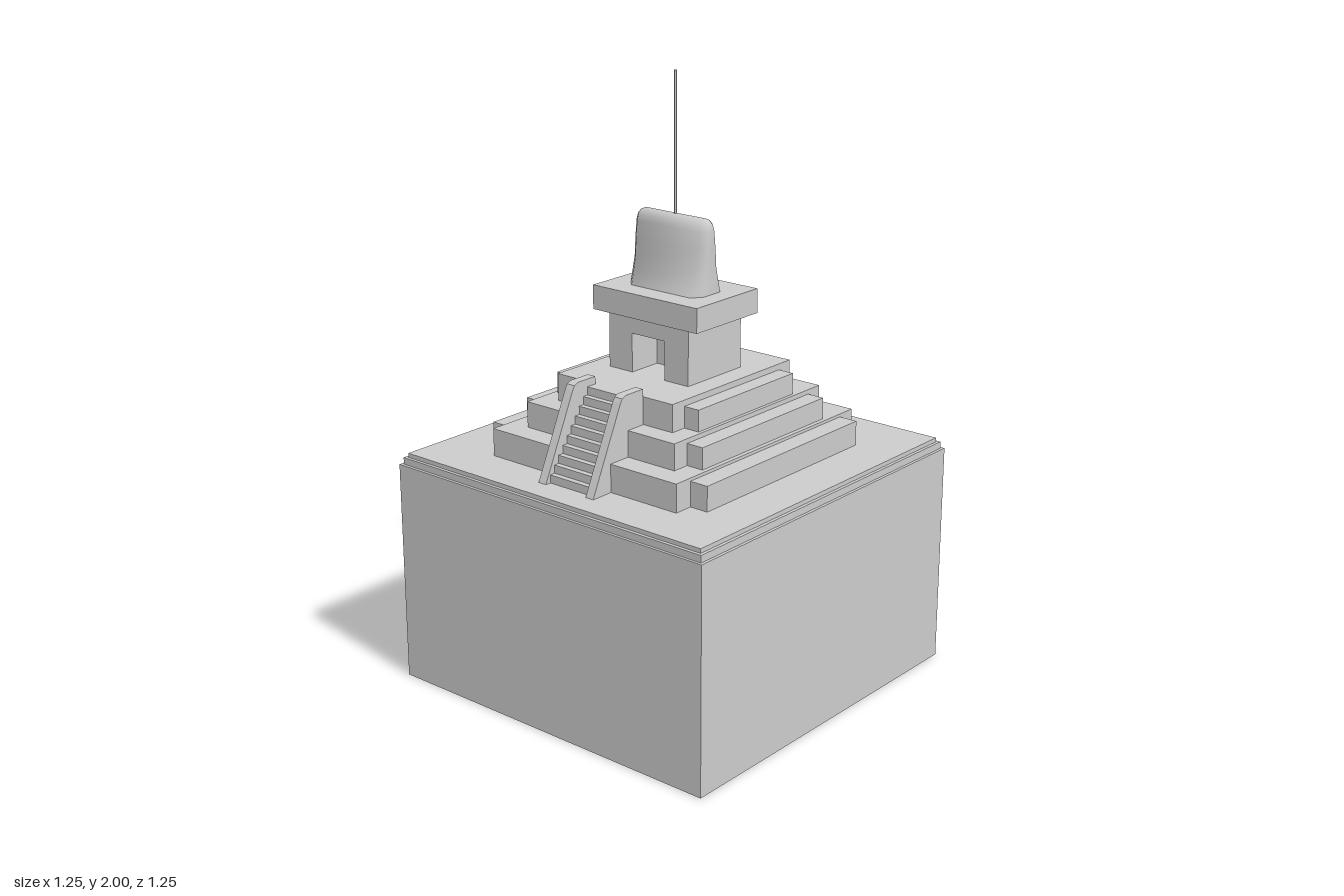
import * as THREE from 'three';
import { mergeVertices, toCreasedNormals } from 'three/addons/utils/BufferGeometryUtils.js';

const grey = new THREE.MeshStandardMaterial({ color: 0xcccccc });
const greyDouble = new THREE.MeshStandardMaterial({ color: 0xcccccc, side: THREE.DoubleSide });

export function createModel() {
  const model = new THREE.Group();
  const add = (name, geometry, material = grey, parent = model) => {
    const mesh = new THREE.Mesh(geometry, material);
    mesh.name = name;
    parent.add(mesh);
    return mesh;
  };
  // box given by half sizes in x and z and its bottom and top heights
  const block = (hx, hz, y0, y1, z = 0, x = 0) =>
    new THREE.BoxGeometry(hx * 2, y1 - y0, hz * 2).translate(x, (y0 + y1) / 2, z);

  // hollow plinth, open underneath: the bottom face of the box is dropped
  const plinth = block(0.627, 0.627, 0, 0.745);
  const faces = Array.from(plinth.index.array);
  faces.splice(18, 6);
  plinth.setIndex(faces);
  plinth.clearGroups();
  add('plinth', plinth, greyDouble);
  add('lowerPlinthStep', block(0.617, 0.617, 0.745, 0.768));
  add('upperPlinthStep', block(0.606, 0.606, 0.768, 0.782));

  // pyramid tiers: two crossed blocks each, leaving notched corners
  const tiers = [
    [0.445, 0.38, 0.782, 0.864, 0.874],
    [0.365, 0.305, 0.874, 0.945, 0.96],
    [0.293, 0.237, 0.96, 1.03, 1.05],
  ];
  tiers.forEach(([long, short, y0, ySide, yMain], i) => {
    const tier = new THREE.Group();
    tier.name = `tier${i + 1}`;
    add('tierMain', block(short, long, y0, yMain), grey, tier);
    add('tierSides', block(long, short, y0, ySide), grey, tier);
    model.add(tier);
  });

  // staircase as one stepped side profile, extruded across x
  const sideExtrude = (points, width, x) => {
    const shape = new THREE.Shape(points.map(([z, y]) => new THREE.Vector2(-z, y)));
    return new THREE.ExtrudeGeometry(shape, { depth: width, bevelEnabled: false })
      .translate(0, 0, -width / 2).rotateY(Math.PI / 2).translate(x, 0, 0);
  };
  const steps = 10, rise = 0.268 / steps, run = 0.0193;
  const profile = [[0.27, 0.782], [0.505, 0.782]];
  for (let i = 0; i < steps; i++) {
    const y = 0.782 + (i + 1) * rise;
    profile.push([0.505 - i * run, y], [i === steps - 1 ? 0.27 : 0.505 - (i + 1) * run, y]);
  }
  add('stairs', sideExtrude(profile, 0.166, 0.007));

  // sloped balustrades on both sides of the stairs
  const rail = [[0.295, 0.782], [0.525, 0.782], [0.398, 1.055], [0.39, 1.068], [0.373, 1.075], [0.295, 1.075]];
  for (const side of [-1, 1]) {
    add(side < 0 ? 'rightBalustrade' : 'leftBalustrade', sideExtrude(rail, 0.031, 0.007 + side * 0.098));
  }

  // temple chamber with a doorway recessed into the front
  const front = new THREE.Shape([
    [-0.163, 1.05], [-0.067, 1.05], [-0.067, 1.178], [0.067, 1.178],
    [0.067, 1.05], [0.163, 1.05], [0.163, 1.235], [-0.163, 1.235],
  ].map(([x, y]) => new THREE.Vector2(x, y)));
  add('templeFront', new THREE.ExtrudeGeometry(front, { depth: 0.12, bevelEnabled: false }).translate(0, 0, 0.01));
  add('templeBack', block(0.163, 0.07, 1.05, 1.235, -0.06));
  add('templeRoof', block(0.213, 0.15, 1.235, 1.315));

  // roof crest: chamfered rectangular sections [y, half width, half depth, corner]
  const sections = [
    [1.315, 0.148, 0.073, 0.03], [1.355, 0.148, 0.06, 0.027], [1.4, 0.147, 0.048, 0.024],
    [1.46, 0.147, 0.041, 0.021], [1.515, 0.146, 0.034, 0.019], [1.535, 0.143, 0.027, 0.016],
    [1.547, 0.135, 0.017, 0.011], [1.552, 0.125, 0.007, 0.005],
  ];
  const positions = [], index = [];
  for (const [y, w, d, c] of sections) {
    const ring = [[w, d - c], [w - c, d], [c - w, d], [-w, d - c], [-w, c - d], [c - w, -d], [w - c, -d], [w, c - d]];
    ring.forEach(([x, z]) => positions.push(x, y, z));
  }
  for (let s = 0; s < sections.length - 1; s++) {
    for (let i = 0; i < 8; i++) {
      const a = s * 8 + i, b = s * 8 + (i + 1) % 8;
      index.push(a, a + 8, b, b, a + 8, b + 8);
    }
  }
  const top = (sections.length - 1) * 8;
  for (let i = 1; i < 7; i++) index.push(top, top + i + 1, top + i);
  const crest = new THREE.BufferGeometry();
  crest.setAttribute('position', new THREE.Float32BufferAttribute(positions, 3));
  crest.setIndex(index);
  add('roofCrest', toCreasedNormals(mergeVertices(crest), 0.95), greyDouble);

  // slim mast on the crest
  add('mast', new THREE.CylinderGeometry(0.004, 0.004, 0.47, 8).translate(0.002, 1.765, 0));

  return model;
}
